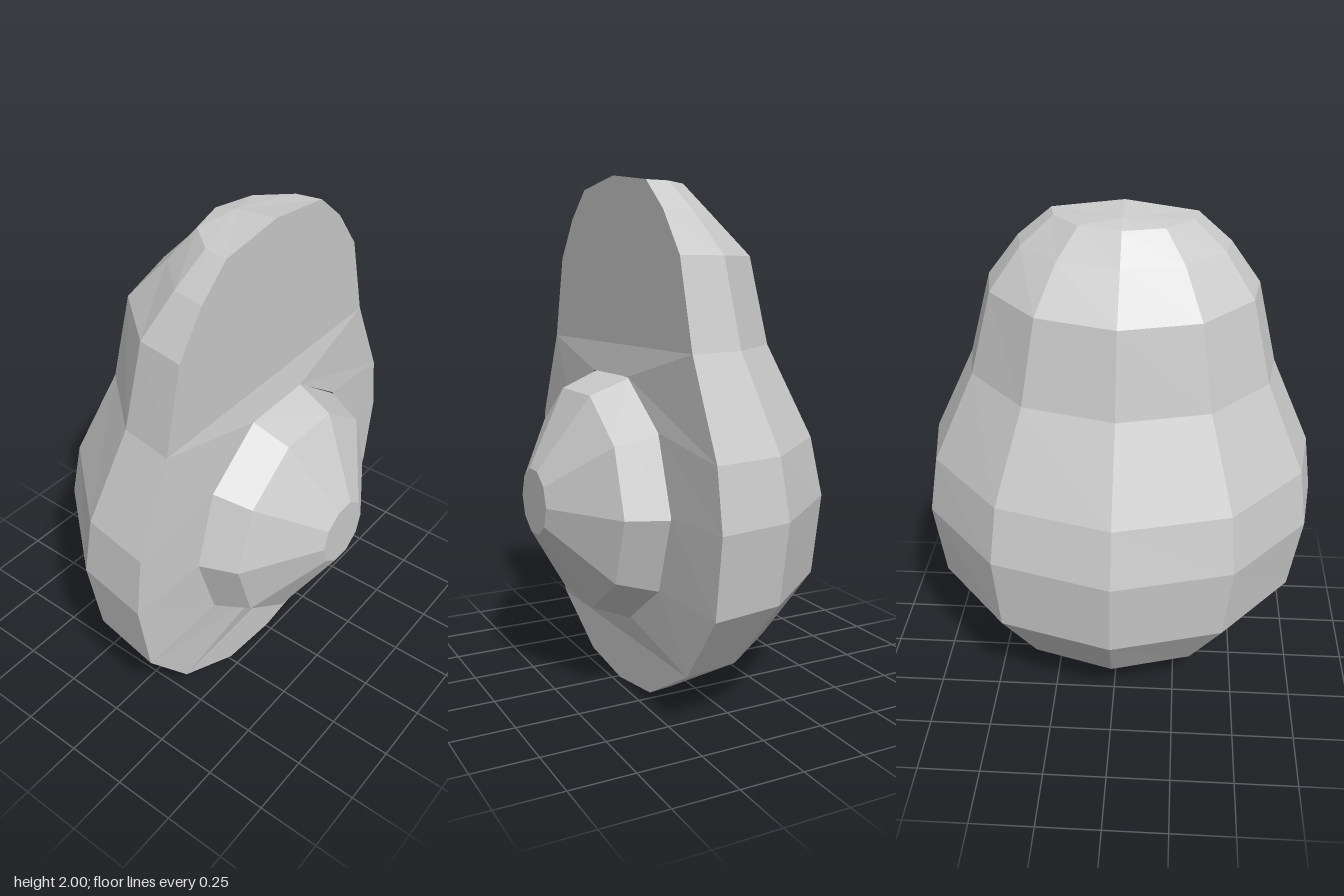
import * as THREE from 'three';

const FRONT = 0.22, PIT_Y = 0.78, PIT_R = 0.494;

// Rows from top to bottom: height, half width, z of the back
const ROWS = [
  [1.965, 0.275, -0.04], [1.855, 0.405, -0.13], [1.695, 0.525, -0.29],
  [1.365, 0.61, -0.35], [1.01, 0.775, -0.52], [0.78, 0.81, -0.57],
  [0.47, 0.765, -0.54], [0.205, 0.565, -0.36], [0.035, 0.27, -0.06],
];
// Half-round section, left to right round the back: share of width, share of depth
const SECTION = [[1, 0], [0.94, 0.38], [0.57, 0.83], [0, 1], [-0.57, 0.83], [-0.94, 0.38], [-1, 0]];

function bodyGeometry() {
  const pos = [];
  const tri = (...pts) => pts.forEach((p) => pos.push(p[0], p[1] - PIT_Y, p[2]));
  const quad = (a, b, c, d) => { tri(a, b, c); tri(a, c, d); };

  const rings = ROWS.map(([y, w, back]) =>
    SECTION.map(([u, v]) => [u * w, y, FRONT + v * (back - FRONT)]));
  const last = rings.length - 1;

  // Rounded skin
  for (let i = 0; i < last; i++) {
    for (let j = 0; j < 6; j++) {
      quad(rings[i][j], rings[i + 1][j], rings[i + 1][j + 1], rings[i][j + 1]);
    }
  }

  // Caps at top and bottom
  const topEdge = [0, 2, FRONT], bottomEdge = [0, 0, FRONT];
  const topLoop = [...rings[0], topEdge], bottomLoop = [...rings[last], bottomEdge];
  for (let j = 0; j < 8; j++) {
    const k = (j + 1) % 8;
    tri([0, 1.985, 0.05], topLoop[j], topLoop[k]);
    tri([0, 0.013, 0.05], bottomLoop[k], bottomLoop[j]);
  }

  // Cut face: strips above and below the pit
  const R = rings.map((r) => r[0]), L = rings.map((r) => r[6]);
  tri(topEdge, L[0], R[0]);
  tri(L[last], bottomEdge, R[last]);
  for (const i of [0, 1, 2, 7]) quad(L[i], L[i + 1], R[i + 1], R[i]);

  // Cut face: gently raised collar around the pit
  const rim = (side) => [72, 36, 0, -36, -72].map((deg) => {
    const a = THREE.MathUtils.degToRad(deg);
    return [side * PIT_R * Math.cos(a), PIT_Y + PIT_R * Math.sin(a), 0.243];
  });
  const P = rim(1), Q = rim(-1);
  for (let k = 0; k < 4; k++) {
    quad(P[k], P[k + 1], R[k + 4], R[k + 3]);
    quad(L[k + 3], L[k + 4], Q[k + 1], Q[k]);
  }
  quad(L[3], Q[0], P[0], R[3]);
  quad(Q[4], L[7], R[7], P[4]);

  const geo = new THREE.BufferGeometry();
  geo.setAttribute('position', new THREE.Float32BufferAttribute(pos, 3));
  geo.computeVertexNormals();
  return geo;
}

export function createModel() {
  const model = new THREE.Group();
  model.name = 'halvedAvocado';
  const material = new THREE.MeshStandardMaterial({ color: 0xcccccc, flatShading: true });

  // Fruit half, leaning very slightly
  const body = new THREE.Mesh(bodyGeometry(), material);
  body.name = 'fruitHalf';
  body.position.y = PIT_Y;
  body.rotation.set(0, 0.009, 0.013);
  model.add(body);

  // Ten-sided pit facing forward
  const profile = [[0.497, 0.23], [PIT_R, 0.243], [0.433, 0.39], [0.13, 0.57], [0, 0.57]]
    .map(([r, h]) => new THREE.Vector2(r, h));
  const pitGeo = new THREE.LatheGeometry(profile, 10, Math.PI / 2).rotateX(Math.PI / 2);
  const pit = new THREE.Mesh(pitGeo, material);
  pit.name = 'pit';
  pit.position.y = PIT_Y - 0.005;
  model.add(pit);

  return model;
}
